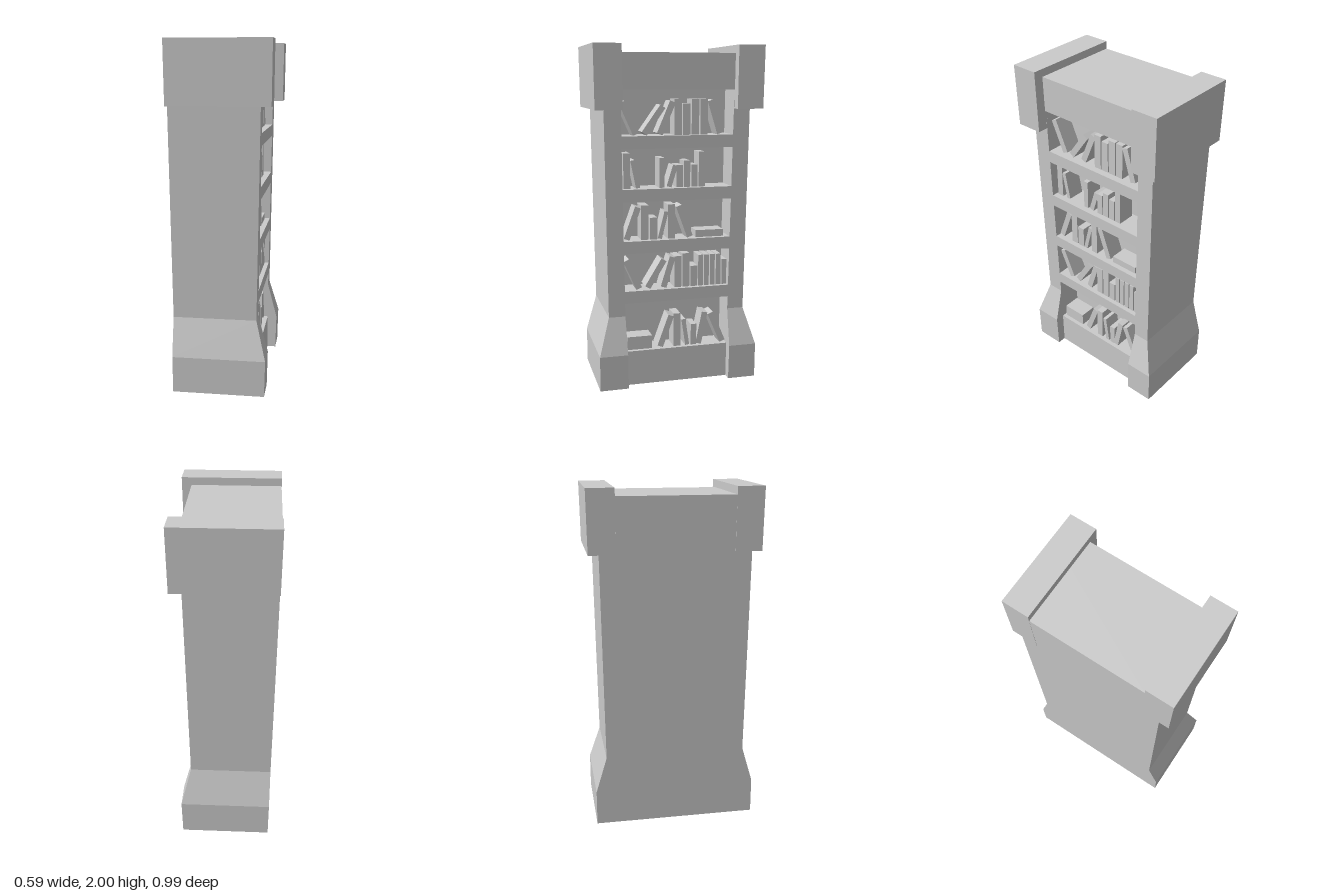
import * as THREE from 'three';

const material = new THREE.MeshStandardMaterial({ color: 0xcccccc, flatShading: true, side: THREE.DoubleSide });

// Half-width between the side walls and front plane, both widening with height
const innerZ = (y) => 0.31 + 0.0143 * y;
const frontX = (y) => 0.207 + 0.0149 * (y - 0.43);
const backX = (y) => -0.268 - 0.0135 * y;
const RECESS_X = 0.06;

// Solid stacked from rectangular sections [y, x0, x1, z0, z1]
function loft(name, sections) {
  const pos = [];
  const index = [];
  for (const [y, x0, x1, za, zb] of sections) {
    const z0 = Math.min(za, zb);
    const z1 = Math.max(za, zb);
    pos.push(x0, y, z1, x1, y, z1, x1, y, z0, x0, y, z0);
  }
  for (let s = 0; s < sections.length - 1; s++) {
    for (let i = 0; i < 4; i++) {
      const a = s * 4 + i;
      const b = s * 4 + ((i + 1) % 4);
      index.push(a, b, b + 4, a, b + 4, a + 4);
    }
  }
  const t = (sections.length - 1) * 4;
  index.push(0, 2, 1, 0, 3, 2, t, t + 1, t + 2, t, t + 2, t + 3);
  const indexed = new THREE.BufferGeometry();
  indexed.setAttribute('position', new THREE.Float32BufferAttribute(pos, 3));
  indexed.setIndex(index);
  const geometry = indexed.toNonIndexed();
  geometry.computeVertexNormals();
  const mesh = new THREE.Mesh(geometry, material);
  mesh.name = name;
  return mesh;
}

// Row of books standing on a shelf floor
function bookRow(floor) {
  const row = new THREE.Group();
  row.name = 'bookRow';
  row.position.y = floor;
  const unit = new THREE.BoxGeometry(1, 1, 1);
  // One book; positive lean tips its top towards +z
  const book = (z, lean = 0, length = 0.2, thickness = 0.036) => {
    const mesh = new THREE.Mesh(unit, material);
    mesh.name = 'book';
    mesh.scale.set(0.105, length, thickness);
    const height = length * Math.cos(lean) + thickness * Math.abs(Math.sin(lean));
    mesh.position.set(0.13, height / 2, z);
    mesh.rotation.x = lean;
    row.add(mesh);
  };
  // Upright books side by side, running towards -z
  const run = (z, pitch, ...lengths) =>
    lengths.forEach((length, i) => book(z - i * pitch, 0, length, pitch - 0.007));
  return { row, book, run };
}

function fillShelves(group) {
  const [first, second, third, fourth, fifth] = [0.21, 0.58, 0.88, 1.185, 1.49].map((floor) => {
    const shelf = bookRow(floor);
    group.add(shelf.row);
    return shelf;
  });

  first.book(0.225, 0, 0.08, 0.15);
  first.book(0.065, -0.35);
  first.run(-0.005, 0.05, 0.205);
  first.book(-0.058, 0.15, 0.165, 0.025);
  first.run(-0.11, 0.042, 0.13);
  first.book(-0.16, -0.2);
  first.book(-0.255, 0.4);

  second.book(0.265, 0.42, 0.19);
  second.book(0.125, -0.55, 0.19);
  second.book(0.05, -0.3, 0.19);
  second.run(-0.01, 0.05, 0.19, 0.205, 0.125);
  second.run(-0.152, 0.037, 0.19, 0.19, 0.19, 0.19, 0.155);

  third.book(0.265, -0.35);
  third.run(0.19, 0.052, 0.205, 0.13);
  third.book(0.08, -0.25, 0.165, 0.025);
  third.run(0.03, 0.05, 0.205);
  third.book(-0.05, 0.35);
  third.book(-0.205, 0, 0.042, 0.17);

  fourth.run(0.295, 0.047, 0.205);
  fourth.book(0.245, 0.2, 0.165, 0.025);
  fourth.run(0.087, 0.038, 0.175);
  fourth.book(0.025, -0.3, 0.13, 0.03);
  fourth.run(-0.02, 0.045, 0.13, 0.155, 0.13, 0.205);

  fifth.book(0.28, 0.42);
  fifth.book(0.135, -0.62, 0.19);
  fifth.book(0.06, -0.4);
  fifth.run(-0.01, 0.052, 0.205, 0.18, 0.205, 0.205);
  fifth.book(-0.235, 0.3);
}

export function createModel() {
  const group = new THREE.Group();
  group.name = 'bookcase';

  // Solid back behind the shelves
  const core = (y) => [y, backX(y), RECESS_X, -innerZ(y), innerZ(y)];
  group.add(loft('backPanel', [core(0), core(1.955)]));

  // Side pillars with flared feet, and their caps
  for (const s of [1, -1]) {
    const side = s > 0 ? 'left' : 'right';
    const section = (y, x1, z) => [y, backX(y), x1, s * innerZ(y), s * z];
    group.add(loft(side + 'Pillar', [
      section(0, 0.26, 0.48), section(0.21, 0.265, 0.48),
      section(0.43, 0.207, 0.415), section(1.7, frontX(1.7), 0.432),
    ]));
    group.add(loft(side + 'Cap', [
      [1.64, -0.292, 0.288, s * 0.335, s * 0.49],
      [2, -0.296, 0.292, s * 0.337, s * 0.495],
    ]));
  }

  // Boards between the pillars: plinth, shelves and top
  const board = (name, y0, y1, front) => group.add(loft(name,
    [y0, y1].map((y) => [y, RECESS_X, front(y), -innerZ(y), innerZ(y)])));
  board('plinth', 0, 0.21, () => 0.207);
  for (const top of [0.58, 0.88, 1.185, 1.49]) board('shelf', top - 0.073, top, frontX);
  board('topBoard', 1.75, 1.955, (y) => frontX(y) + 0.005);

  fillShelves(group);
  return group;
}
